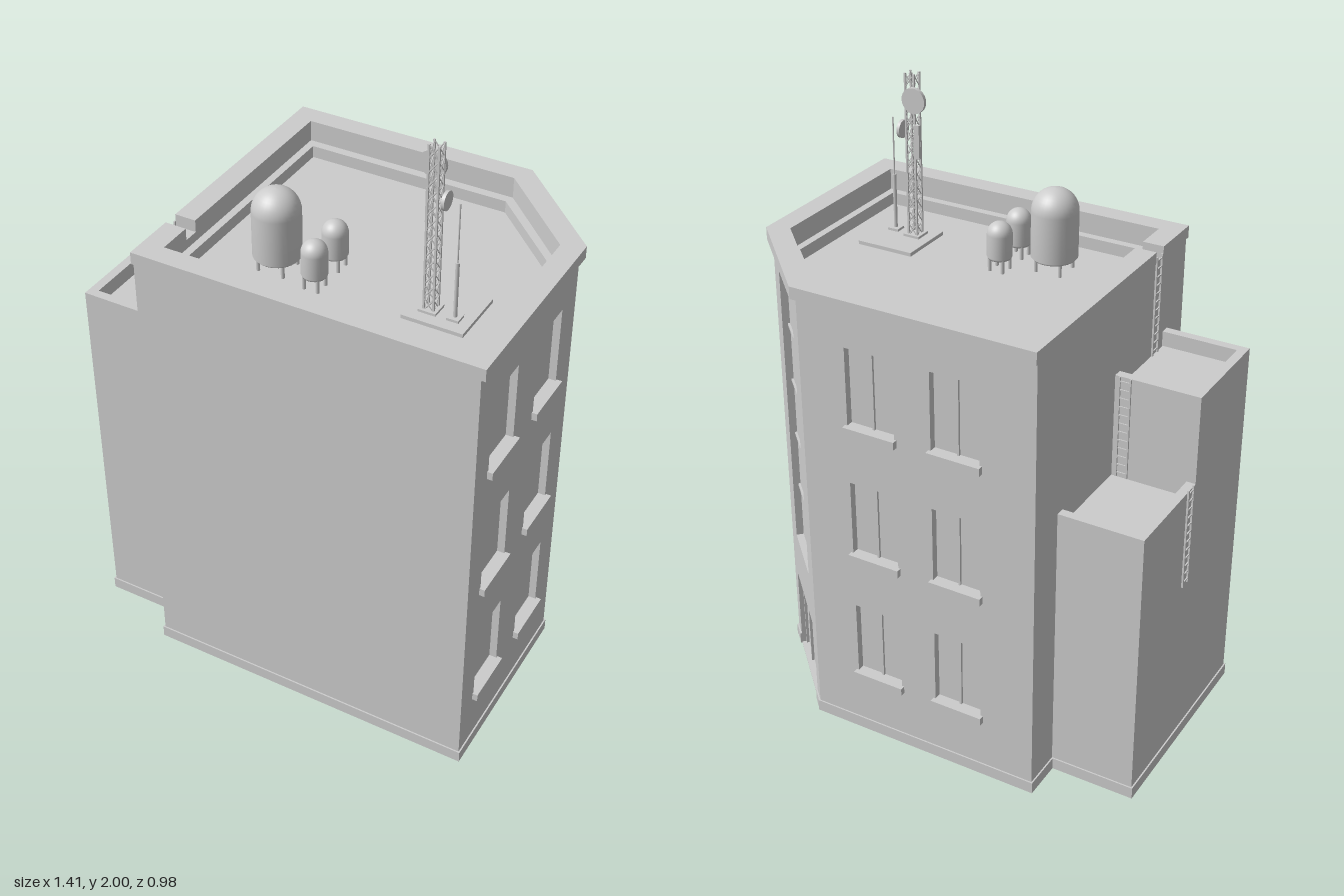
import * as THREE from 'three';

const mat = new THREE.MeshStandardMaterial({ color: 0xcccccc, side: THREE.DoubleSide });

function add(parent, name, geo, x = 0, y = 0, z = 0) {
  const m = new THREE.Mesh(geo, mat);
  m.name = name;
  m.position.set(x, y, z);
  parent.add(m);
  return m;
}
const box = (p, name, w, h, d, x, y, z) => add(p, name, new THREE.BoxGeometry(w, h, d), x, y, z);

// Thin bar between two points
function bar(p, name, a, b, r, sides = 4) {
  const A = new THREE.Vector3(...a), B = new THREE.Vector3(...b);
  const m = add(p, name, new THREE.CylinderGeometry(r, r, A.distanceTo(B), sides));
  m.position.copy(A).lerp(B, 0.5);
  m.quaternion.setFromUnitVectors(new THREE.Vector3(0, 1, 0), B.sub(A).normalize());
}

// Horizontal slab from a plan outline of [x, z] points, with an optional hole
function slab(p, name, pts, y0, y1, hole) {
  const v = a => a.map(([x, z]) => new THREE.Vector2(x, -z));
  const s = new THREE.Shape(v(pts));
  if (hole) s.holes.push(new THREE.Path(v(hole)));
  const g = new THREE.ExtrudeGeometry(s, { depth: y1 - y0, bevelEnabled: false });
  g.rotateX(-Math.PI / 2);
  add(p, name, g, 0, y0, 0);
}

// Wall panel running left to right as seen from outside; openings are [u, y0, width, y1]
const T = 0.025;
function wall(p, name, [x0, z0], [x1, z1], h, openings = [], t = T) {
  const g = new THREE.Group();
  const len = Math.hypot(x1 - x0, z1 - z0);
  g.name = name;
  g.position.set(x0, 0, z0);
  g.rotation.y = Math.atan2(z0 - z1, x1 - x0);
  const rect = (S, a, b, c, d) => new S([[a, b], [c, b], [c, d], [a, d]].map(q => new THREE.Vector2(...q)));
  const s = rect(THREE.Shape, 0, 0, len, h);
  for (const [u, y0, w, y1] of openings) {
    s.holes.push(rect(THREE.Path, u - w / 2, y0, u + w / 2, y1));
    box(g, 'pane', w + 0.01, y1 - y0 + 0.008, 0.004, u, (y0 + y1) / 2, -t - 0.001);
  }
  add(g, name + 'Panel', new THREE.ExtrudeGeometry(s, { depth: t, bevelEnabled: false }), 0, 0, -t);
  p.add(g);
  return { g, len };
}

function plinth({ g, len }, gap = 0) {
  const w = gap ? (len - gap) / 2 : len + 0.01;
  for (const u of gap ? [w / 2, len - w / 2] : [len / 2]) box(g, 'plinth', w, 0.04, 0.006, u, 0.02, 0.002);
}

// Ladder standing against a wall, facing local +z
function ladder(p, x, z, y0, y1, ry) {
  const g = new THREE.Group();
  g.name = 'ladder';
  g.position.set(x, y0, z);
  g.rotation.y = ry;
  const h = y1 - y0, n = Math.round(h / 0.028);
  for (const s of [-1, 1]) box(g, 'ladderRail', 0.005, h, 0.006, s * 0.018, h / 2, 0.004);
  for (let i = 0; i < n; i++) box(g, 'ladderRung', 0.036, 0.004, 0.004, 0, (i + 0.5) * h / n, 0.004);
  p.add(g);
}

function tank(p, x, z, r, y0, y1) {
  const legs = 0.04, pts = [new THREE.Vector2(0, y0 + legs), new THREE.Vector2(r * 0.9, y0 + legs), new THREE.Vector2(r, y0 + legs + 0.008)];
  for (let i = 0; i <= 10; i++) {
    const a = i / 10 * Math.PI / 2;
    pts.push(new THREE.Vector2(r * Math.cos(a), y1 - r + r * Math.sin(a)));
  }
  add(p, 'waterTank', new THREE.LatheGeometry(pts, 32), x, 0, z);
  for (let i = 0; i < 4; i++) {
    const a = Math.PI / 4 + i * Math.PI / 2, lx = x + Math.cos(a) * r * 0.8, lz = z + Math.sin(a) * r * 0.8;
    bar(p, 'tankLeg', [lx, y0, lz], [lx, y0 + legs + 0.01, lz], 0.006, 8);
  }
}

export function createModel() {
  const root = new THREE.Group();
  root.name = 'building';
  const ROOF = 1.45, TOP = 1.52;

  // Main walls with windows
  const rows = [[0.23, 0.485], [0.685, 0.94], [1.14, 1.4]];
  const windows = us => us.flatMap(u => rows.map(([a, b]) => [u, a, 0.165, b]));
  const A = [-0.42, 0.482], B = [0.685, 0.482], C = [0.685, -0.17], D = [0.38, -0.475], E = [-0.42, -0.475];
  plinth(wall(root, 'frontWall', A, B, TOP));
  plinth(wall(root, 'leftHandWall', E, A, TOP));
  const sideWins = windows([0.17, 0.47]), backWins = windows([0.245, 0.535]);
  const side = wall(root, 'sideWall', B, C, TOP, sideWins);
  const back = wall(root, 'backWall', D, E, TOP, backWins);
  for (const [w, wins] of [[side, sideWins], [back, backWins]]) {
    plinth(w);
    for (const [u, y0, , y1] of wins) {
      box(w.g, 'windowSill', 0.18, 0.026, 0.035, u, y0 - 0.013, 0);
      if (w === back) box(w.g, 'mullion', 0.007, y1 - y0, 0.01, u, (y0 + y1) / 2, -T + 0.004);
    }
  }

  // Cut corner with stair window and entrance
  const mid = 0.2157;
  const corner = wall(root, 'cornerWall', C, D, TOP, [[mid, 0.48, 0.24, 1.465], [mid, 0.004, 0.32, 0.3]]);
  plinth(corner, 0.32);
  for (let i = 1; i < 5; i++) box(corner.g, 'stairWindowBar', 0.24, 0.007, 0.008, mid, 0.48 + i * 0.197, -T + 0.004);
  for (let i = 0; i < 4; i++) box(corner.g, 'doorPost', 0.009, 0.296, 0.01, mid - 0.155 + i * 0.1033, 0.15, -T + 0.005);

  // Roof, parapet, inner ledge and notched cap
  const inner = [[-0.355, 0.417], [0.63, 0.417], [0.63, -0.15], [0.36, -0.42], [-0.355, -0.42]];
  const ledge = [[-0.33, 0.39], [0.605, 0.39], [0.605, -0.14], [0.35, -0.39], [-0.33, -0.39]];
  const ring = [[-0.41, 0.472], [0.675, 0.472], [0.675, -0.165], [0.375, -0.465], [-0.41, -0.465]];
  slab(root, 'roof', ring, ROOF - 0.01, ROOF);
  slab(root, 'parapet', ring, ROOF, TOP, inner);
  slab(root, 'roofLedge', inner, ROOF, 1.49, ledge);
  slab(root, 'parapetCap', [[-0.425, 0.305], [-0.425, 0.487], [0.7, 0.487], [0.7, -0.18], [0.39, -0.49], [-0.425, -0.49],
    [-0.425, 0.255], [-0.355, 0.255], ...inner.slice().reverse(), [-0.355, 0.305]], TOP, 1.56);

  // Two stepped annexes
  const X0 = -0.7, X1 = -0.42, Z0 = -0.34, Z1 = 0.012, Z2 = 0.372, LOW = 0.96, HIGH = 1.255;
  plinth(wall(root, 'lowAnnexBack', [X1, Z0], [X0, Z0], LOW, [], 0.03));
  plinth(wall(root, 'lowAnnexSide', [X0, Z0], [X0, Z1], LOW, [], 0.03));
  wall(root, 'highAnnexBack', [X1, Z1], [X0, Z1], HIGH, [], 0.03);
  plinth(wall(root, 'highAnnexSide', [X0, Z1], [X0, Z2], HIGH, [], 0.03));
  plinth(wall(root, 'highAnnexFront', [X0, Z2], [X1, Z2], HIGH, [], 0.03));
  for (const [z0, z1, h] of [[Z0, Z1, LOW], [Z1, Z2, HIGH]])
    box(root, 'annexRoof', 0.27, 0.01, z1 - z0 - 0.01, -0.557, h - 0.055, (z0 + z1) / 2);

  // Ladders
  ladder(root, X0, -0.03, 0.62, LOW + 0.01, -Math.PI / 2);
  ladder(root, -0.455, Z1, LOW - 0.05, HIGH, Math.PI);
  ladder(root, X1, 0.28, HIGH - 0.05, TOP + 0.02, -Math.PI / 2);

  // Tanks
  tank(root, -0.105, 0.205, 0.074, ROOF, 1.72);
  tank(root, 0.04, 0.12, 0.04, ROOF, 1.61);
  tank(root, 0.04, 0.24, 0.04, ROOF, 1.61);

  // Lattice mast
  const mx = 0.39, mz = 0.19, m = 0.0155, P = ROOF + 0.012;
  box(root, 'mastPad', 0.195, 0.012, 0.195, 0.425, ROOF + 0.006, 0.158);
  box(root, 'mastPlate', 0.056, 0.008, 0.056, mx, P + 0.004, mz);
  const mast = new THREE.Group();
  mast.name = 'mast';
  mast.position.set(mx, 0, mz);
  root.add(mast);
  const posts = [[-m, -m], [m, -m], [m, m], [-m, m]], n = 12, step = (2 - P) / n;
  posts.forEach(([x, z], k) => {
    const [x2, z2] = posts[(k + 1) % 4];
    box(mast, 'mastPost', 0.006, 2 - P, 0.006, x, (2 + P) / 2, z);
    for (let i = 0; i < n; i++) {
      const a = P + i * step + 0.002, b = a + step - 0.004;
      bar(mast, 'mastBrace', [x, a, z], [x2, b, z2], 0.002);
      bar(mast, 'mastBrace', [x, b, z], [x2, a, z2], 0.002);
    }
  });

  // Dishes and panels on the mast
  const dish = (r, d) => new THREE.CylinderGeometry(r, r, d, 24);
  add(root, 'largeDish', dish(0.041, 0.012), 0.37, 1.92, 0.166).rotation.x = Math.PI / 2;
  add(root, 'smallDish', dish(0.029, 0.01), 0.417, 1.82, 0.172).rotation.z = Math.PI / 2;
  box(root, 'panelAntenna', 0.018, 0.11, 0.01, 0.362, 1.787, 0.168);
  bar(root, 'antennaBracket', [0.36, 1.79, 0.17], [0.375, 1.79, 0.175], 0.004);

  // Whip antenna
  box(root, 'whipPlate', 0.038, 0.008, 0.038, 0.47, P + 0.004, 0.198);
  bar(root, 'whipBase', [0.47, P, 0.198], [0.47, 1.65, 0.198], 0.006, 10);
  bar(root, 'whip', [0.47, 1.65, 0.198], [0.47, 1.84, 0.198], 0.0025, 8);

  return root;
}
